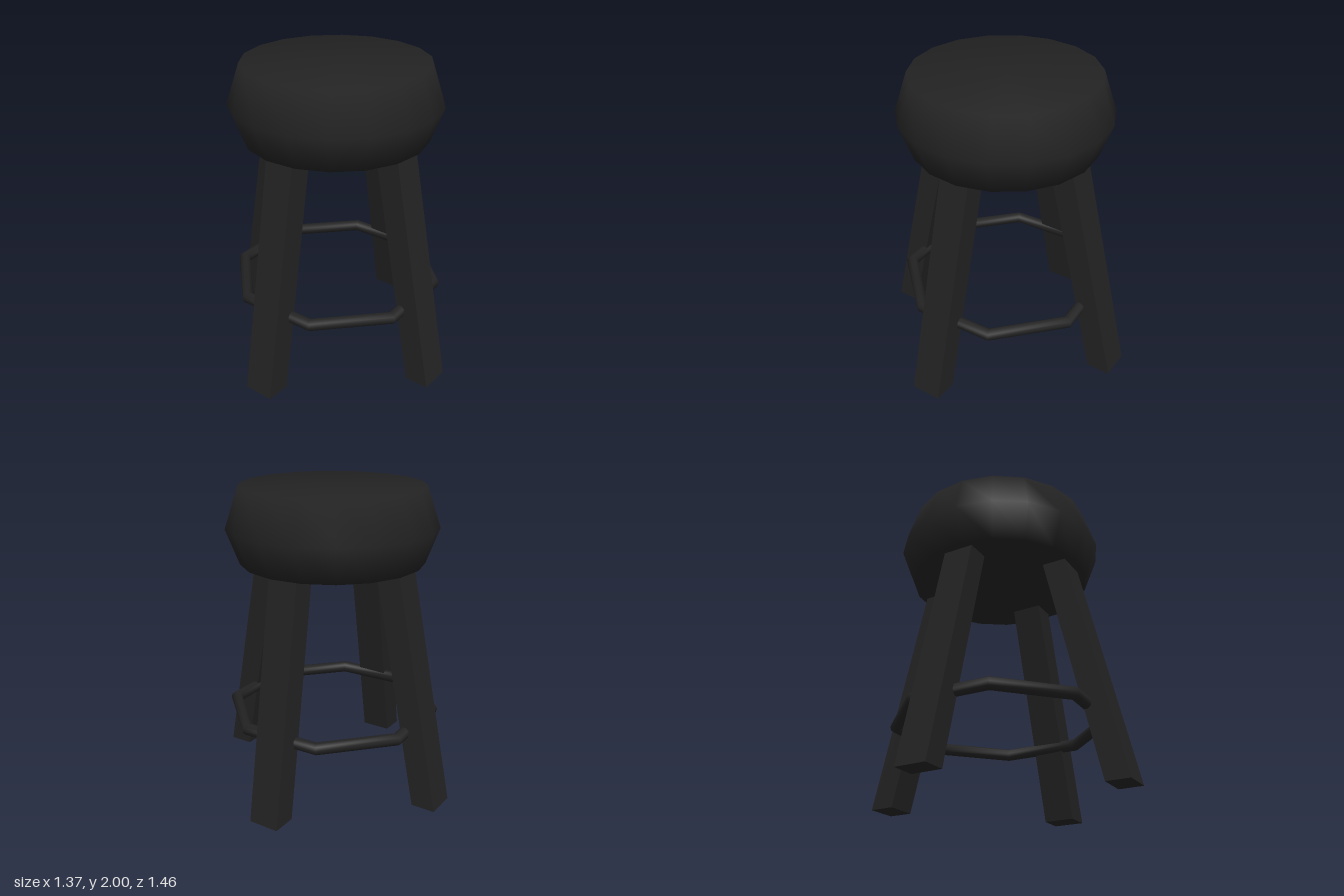
import * as THREE from 'three';

export function createModel() {
  const model = new THREE.Group();
  model.name = 'stool';
  const black = new THREE.MeshStandardMaterial({ color: 0x222222 });
  black.name = 'matte black';

  const add = (name, geometry) => {
    const mesh = new THREE.Mesh(geometry, black);
    mesh.name = name;
    model.add(mesh);
  };

  // Padded seat: softly shaded drum, widest at its middle
  const profile = [[0, 1.51], [0.6, 1.51], [0.687, 1.74], [0.6, 2], [0, 2]]
    .map(([r, y]) => new THREE.Vector2(r, y));
  add('seat', new THREE.LatheGeometry(profile, 18, Math.PI / 2));

  // Splayed legs: diagonal bars sheared inwards, with level feet
  const legHeight = 1.53;
  for (const sx of [1, -1]) {
    for (const sz of [1, -1]) {
      const leg = new THREE.BoxGeometry(0.205, legHeight, 0.16);
      leg.rotateY(sx * sz * Math.PI / 4);
      leg.translate(0, legHeight / 2, 0);
      const p = leg.attributes.position;
      for (let i = 0; i < p.count; i++) {
        const t = p.getY(i) / 1.51;
        p.setX(i, p.getX(i) + sx * (0.525 - 0.195 * t));
        p.setZ(i, p.getZ(i) + sz * (0.602 - 0.272 * t));
      }
      leg.computeVertexNormals();
      add((sz > 0 ? 'front' : 'back') + (sx > 0 ? 'Left' : 'Right') + 'Leg', leg);
    }
  }

  // Eight-sided foot ring
  const ring = new THREE.TorusGeometry(0.68, 0.04, 10, 8);
  ring.rotateZ(THREE.MathUtils.degToRad(20.5));
  ring.rotateX(Math.PI / 2);
  ring.translate(0, 0.49, 0);
  add('footRing', ring);

  return model;
}
